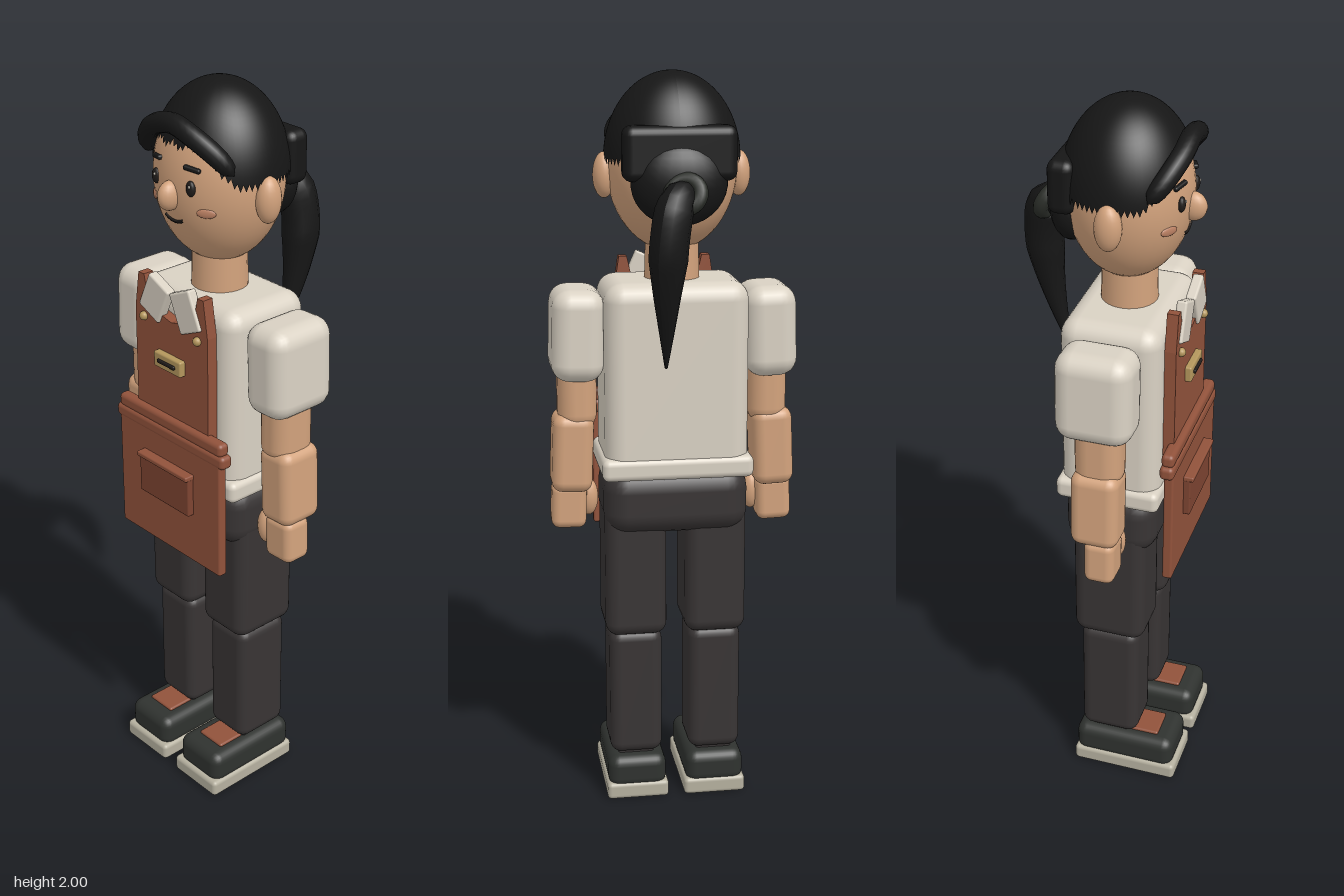
import * as THREE from 'three';
import { RoundedBoxGeometry } from 'three/addons/geometries/RoundedBoxGeometry.js';

const mat = (color) => new THREE.MeshStandardMaterial({ color });
const M = {
  skin: mat(0xd2a27c), blush: mat(0xb97f62), hair: mat(0x161616), tie: mat(0x2b2e29),
  shirt: mat(0xd9d1c3), trousers: mat(0x383434), apron: mat(0x91523b),
  trim: mat(0x7d4431), shoe: mat(0x2f322f), sole: mat(0xb5b09f), brass: mat(0xb3965c),
  dark: mat(0x201c1a),
};

export function createModel() {
  const root = new THREE.Group();
  root.name = 'figure';

  const add = (name, geo, material, x = 0, y = 0, z = 0) => {
    const mesh = new THREE.Mesh(geo, material);
    mesh.name = name;
    mesh.position.set(x, y, z);
    root.add(mesh);
    return mesh;
  };
  // rounded box given by its limits on each axis
  const box = (name, material, [x0, x1], [y0, y1], [z0, z1], r = 0.02) =>
    add(name, new RoundedBoxGeometry(x1 - x0, y1 - y0, z1 - z0, 3, r), material,
      (x0 + x1) / 2, (y0 + y1) / 2, (z0 + z1) / 2);
  const ball = (name, material, [x, y, z], [rx, ry, rz], seg = 24) =>
    add(name, new THREE.SphereGeometry(1, seg, Math.ceil(seg * 0.7)).scale(rx, ry, rz), material, x, y, z);
  // tube whose radius follows a rule along its length
  const taperTube = (name, material, points, radius, flat = 1) => {
    const curve = new THREE.CatmullRomCurve3(points.map((p) => new THREE.Vector3(...p)));
    const n = 24, sides = 12;
    const geo = new THREE.TubeGeometry(curve, n, 1, sides);
    const pos = geo.attributes.position, v = new THREE.Vector3();
    for (let i = 0; i < pos.count; i++) {
      const t = Math.floor(i / (sides + 1)) / n;
      const c = curve.getPointAt(t);
      v.fromBufferAttribute(pos, i).sub(c).multiplyScalar(radius(t));
      v.z *= flat;
      pos.setXYZ(i, c.x + v.x, c.y + v.y, c.z + v.z);
    }
    geo.computeVertexNormals();
    return add(name, geo, material);
  };

  // legs, shoes, arms and ears, mirrored
  for (const s of [1, -1]) {
    const side = s > 0 ? 'left' : 'right';
    const mx = (a, b) => (s > 0 ? [a, b] : [-b, -a]);
    box(side + 'Thigh', M.trousers, mx(0.025, 0.193), [0.485, 0.9], [-0.06, 0.14], 0.035);
    box(side + 'Shin', M.trousers, mx(0.037, 0.182), [0.13, 0.495], [-0.042, 0.122], 0.03);
    box(side + 'Ankle', M.trousers, mx(0.06, 0.16), [0.1, 0.16], [-0.02, 0.1], 0.01);
    box(side + 'Shoe', M.shoe, mx(0.028, 0.19), [0.03, 0.125], [-0.058, 0.23], 0.03);
    box(side + 'Sole', M.sole, mx(0.022, 0.195), [0, 0.048], [-0.06, 0.24], 0.012);
    box(side + 'ShoeTongue', M.apron, mx(0.065, 0.155), [0.115, 0.132], [0.1, 0.18], 0.006);

    box(side + 'Sleeve', M.shirt, mx(0.187, 0.327), [1.2, 1.445], [-0.063, 0.14], 0.048).rotation.z = s * 0.03;
    box(side + 'UpperArm', M.skin, mx(0.205, 0.31), [1.06, 1.25], [-0.018, 0.108], 0.045);
    box(side + 'Forearm', M.skin, mx(0.218, 0.328), [0.89, 1.105], [-0.02, 0.108], 0.03).rotation.z = s * 0.04;
    box(side + 'Hand', M.skin, mx(0.235, 0.33), [0.78, 0.905], [0.018, 0.1], 0.022).rotation.z = s * 0.03;
    ball(side + 'Thumb', M.skin, [s * 0.226, 0.855, 0.075], [0.027, 0.052, 0.028], 16);

    ball(side + 'Ear', M.skin, [s * 0.178, 1.735, 0.04], [0.03, 0.06, 0.035], 20);
  }

  // hips and shirt
  box('hips', M.trousers, [-0.195, 0.195], [0.78, 0.96], [-0.085, 0.165], 0.06);
  box('torso', M.shirt, [-0.192, 0.192], [0.95, 1.465], [-0.093, 0.174], 0.05);
  box('shirtHem', M.shirt, [-0.203, 0.203], [0.94, 1.0], [-0.1, 0.18], 0.018);
  add('neck', new THREE.CylinderGeometry(0.07, 0.075, 0.18, 24), M.skin, 0, 1.5, 0.04);

  // head
  const headC = [0, 1.76, 0.04], headR = [0.172, 0.225, 0.16];
  ball('head', M.skin, headC, headR, 40);
  const faceZ = (x, y) => headC[2] + headR[2] *
    Math.sqrt(1 - (x / headR[0]) ** 2 - ((y - headC[1]) / headR[1]) ** 2);

  // face
  ball('nose', M.skin, [0, 1.737, 0.2], [0.025, 0.038, 0.036], 18);
  for (const s of [1, -1]) {
    ball('eye', M.dark, [s * 0.064, 1.768, faceZ(0.064, 1.768)], [0.014, 0.02, 0.01], 14);
    ball('eyeGlint', M.shirt, [s * 0.064 + 0.004, 1.775, faceZ(0.064, 1.775) + 0.009], [0.003, 0.004, 0.003], 8);
    const brow = box('eyebrow', M.hair, [s * 0.064 - 0.023, s * 0.064 + 0.023], [1.81, 1.822],
      [faceZ(0.064, 1.816) - 0.008, faceZ(0.064, 1.816) + 0.008], 0.005);
    brow.rotation.set(0, s * 0.38, -s * 0.15);
    const cheek = ball('cheek', M.blush, [s * 0.096, 1.708, faceZ(0.096, 1.708)], [0.025, 0.012, 0.005], 18);
    cheek.rotation.y = s * 0.6;
  }
  taperTube('mouth', M.dark, [-0.033, -0.016, 0, 0.016, 0.033].map((x) => {
    const y = 1.668 + 8 * x * x;
    return [x, y, faceZ(x, y)];
  }), () => 0.0045);

  // hair cap: dome whose lower edge follows a jagged fringe
  const hairR = [0.179, 0.225, 0.168], hairY = 1.775;
  const cap = new THREE.SphereGeometry(1, 72, 20);
  const cp = cap.attributes.position, uv = cap.attributes.uv;
  for (let i = 0; i < cp.count; i++) {
    const az = (uv.getX(i) - 0.5) * Math.PI * 2;
    const a = Math.abs(az);
    const ramp = THREE.MathUtils.smoothstep(a, 0.5, 1.05);
    const saw = a < 1.1 ? 0.028 * Math.abs(((az * 3.2 + 10) % 1) - 0.5) : 0;
    const edge = 1.85 - 0.085 * ramp + saw;
    const theta = (1 - uv.getY(i)) * Math.acos((edge - hairY) / hairR[1]);
    cp.setXYZ(i, Math.sin(theta) * Math.sin(az) * hairR[0], Math.cos(theta) * hairR[1],
      Math.sin(theta) * Math.cos(az) * hairR[2]);
  }
  // azimuth runs from the back seam round the front
  cap.computeVertexNormals();
  const capMat = M.hair.clone();
  capMat.side = THREE.DoubleSide;
  add('hairCap', cap, capMat, 0, hairY, 0.036);

  // rolled fringe
  taperTube('fringeRoll', M.hair, [
    [-0.155, 1.80, 0.13], [-0.13, 1.845, 0.16], [-0.07, 1.895, 0.188], [0, 1.917, 0.192],
    [0.07, 1.9, 0.188], [0.13, 1.855, 0.16], [0.155, 1.81, 0.13],
  ], (t) => 0.026 * Math.sqrt(Math.max(0, 1 - (2 * t - 1) ** 8)));

  // gathered hair at the back, tie and ponytail
  box('backHairBand', M.hair, [-0.147, 0.147], [1.73, 1.87], [-0.13, -0.06], 0.025);
  ball('backHair', M.hair, [0, 1.725, -0.095], [0.125, 0.11, 0.062]);
  const tie = add('hairTie', new THREE.TorusGeometry(0.038, 0.02, 12, 24), M.tie, -0.005, 1.705, -0.165);
  tie.rotation.set(0.45, -0.3, 0);
  taperTube('ponytail', M.hair, [
    [-0.01, 1.705, -0.14], [0.02, 1.69, -0.185], [0.04, 1.6, -0.203], [0.045, 1.48, -0.192],
    [0.043, 1.36, -0.165], [0.04, 1.255, -0.133],
  ], (t) => 0.004 + 0.046 * Math.min(1, 0.65 + t * 2, (1 - t) * 1.7));

  // apron bib with shoulder tabs
  const bib = new THREE.Shape([
    [-0.14, 1.06], [0.14, 1.06], [0.14, 1.4], [0.125, 1.5], [0.103, 1.5], [0.085, 1.42],
    [0, 1.4], [-0.085, 1.42], [-0.103, 1.5], [-0.125, 1.5], [-0.14, 1.4],
  ].map(([x, y]) => new THREE.Vector2(x, y)));
  add('apronBib', new THREE.ExtrudeGeometry(bib, { depth: 0.03, bevelEnabled: false }), M.apron, 0, 0, 0.175);
  box('apronSkirt', M.apron, [-0.2, 0.2], [0.74, 1.08], [0.196, 0.222], 0.006);
  box('apronBand', M.apron, [-0.213, 0.213], [1.063, 1.1], [0.186, 0.224], 0.012);
  box('apronBandTop', M.apron, [-0.203, 0.203], [1.095, 1.132], [0.188, 0.222], 0.012);
  box('pocket', M.trim, [-0.098, 0.098], [0.885, 1.0], [0.215, 0.24], 0.004);
  box('pocketRim', M.apron, [-0.1, 0.1], [0.992, 1.006], [0.215, 0.249], 0.004);
  box('badge', M.brass, [-0.052, 0.052], [1.267, 1.31], [0.2, 0.222], 0.005);
  box('badgeBar', M.dark, [-0.033, 0.033], [1.284, 1.294], [0.215, 0.228], 0.003);

  // collar flaps and bib buttons
  for (const s of [1, -1]) {
    const flap = box('collarFlap', M.shirt, [s * 0.06 - 0.041, s * 0.06 + 0.041], [1.395, 1.502], [0.185, 0.213], 0.006);
    flap.rotation.z = s * 0.42;
    ball('bibButton', M.brass, [s * 0.104, 1.385, 0.208], [0.012, 0.012, 0.012], 14);
  }
  return root;
}
